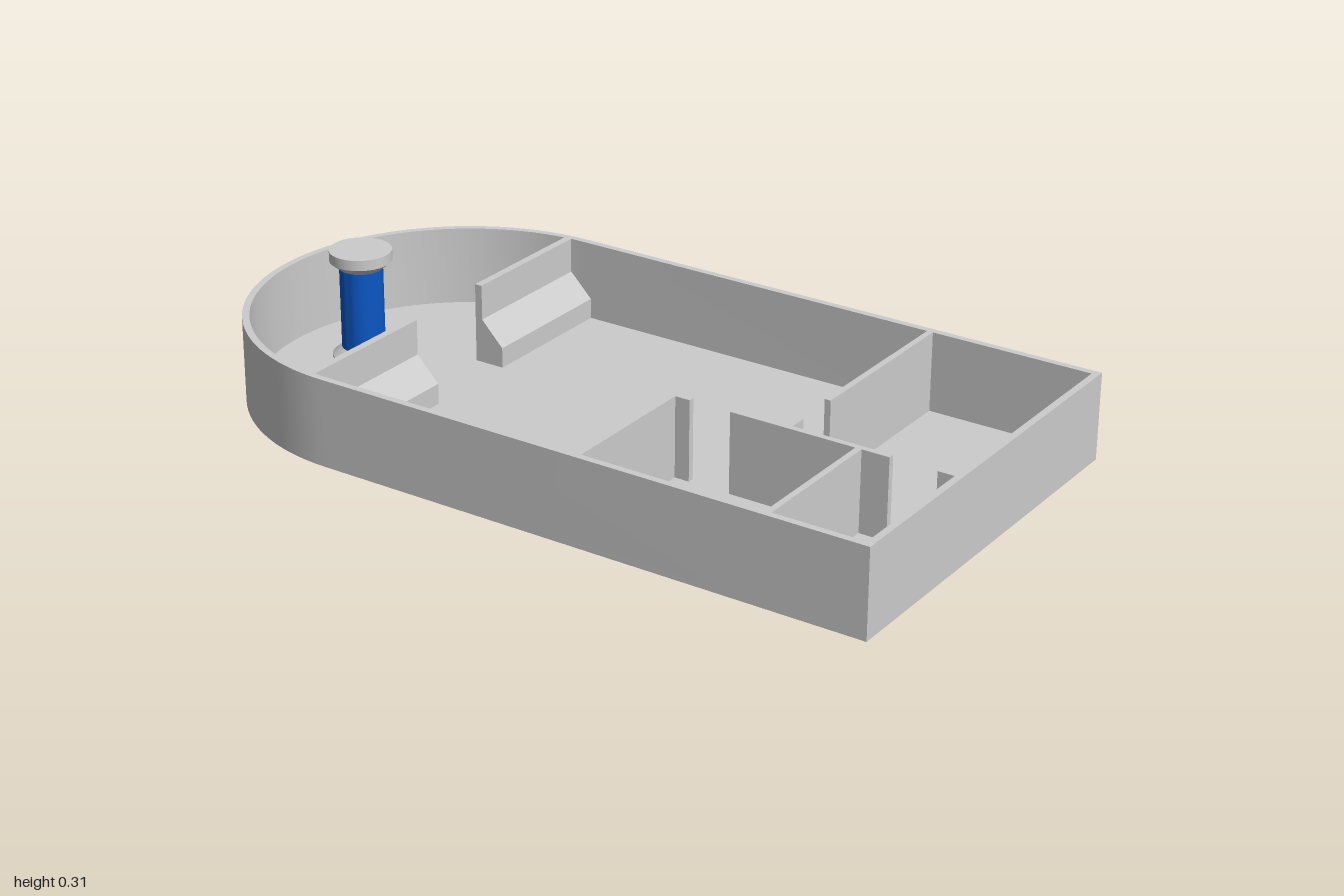
import * as THREE from 'three';
import { toCreasedNormals } from 'three/addons/utils/BufferGeometryUtils.js';

const BASE = 0.005, FLOOR = 0.022, TOP = 0.229, T = 0.016;

// Plan outline: square at +x, half round at -x, inset by d
function outline(d, Type = THREE.Shape) {
  const r = 0.532 - d, cx = -0.468, s = new Type();
  s.moveTo(1 - d, -r);
  s.lineTo(1 - d, r);
  s.lineTo(cx, r);
  s.absarc(cx, 0, r, Math.PI / 2, Math.PI * 1.5, false);
  s.closePath();
  return s;
}

export function createModel() {
  const model = new THREE.Group();
  const grey = new THREE.MeshStandardMaterial({ color: 0xcccccc });
  const blue = new THREE.MeshStandardMaterial({ color: 0x0b57c4 });

  function add(name, geometry, material = grey) {
    const mesh = new THREE.Mesh(geometry, material);
    mesh.name = name;
    model.add(mesh);
    return mesh;
  }

  // Extrude a plan shape upwards between two heights
  function slab(name, shape, y0, y1) {
    const g = new THREE.ExtrudeGeometry(shape, { depth: y1 - y0, bevelEnabled: false, curveSegments: 28 });
    g.rotateX(-Math.PI / 2);
    g.translate(0, y0, 0);
    return add(name, toCreasedNormals(g, 0.5));
  }

  // Full height partition given by its plan rectangle
  function partition(name, x0, x1, z0, z1) {
    const g = new THREE.BoxGeometry(x1 - x0, TOP - FLOOR, z1 - z0);
    g.translate((x0 + x1) / 2, (TOP + FLOOR) / 2, (z0 + z1) / 2);
    add(name, g);
  }

  // Tray: floor and outer wall
  slab('floor', outline(0), BASE, FLOOR);
  const rim = outline(0);
  rim.holes.push(outline(0.018, THREE.Path));
  slab('outerWall', rim, FLOOR, TOP);

  // Mirrored partitions, each with a sloping bench in front
  const bench = new THREE.Shape([[-0.505, FLOOR], [-0.442, FLOOR], [-0.442, 0.075], [-0.505, 0.14]]
    .map(([x, y]) => new THREE.Vector2(x, y)));
  for (const side of [-1, 1]) {
    const z0 = side < 0 ? -0.516 : 0.13;
    partition('roundRoomWall', -0.523, -0.503, z0, z0 + 0.386);
    const g = new THREE.ExtrudeGeometry(bench, { depth: 0.386, bevelEnabled: false });
    g.translate(0, 0, z0);
    add('bench', g);
  }

  // Small room walls and door jambs
  partition('backRoomWall', 0.545, 0.545 + T, -0.516, -0.04);
  partition('backRoomJamb', 0.545, 0.545 + T, 0.078, 0.13);
  partition('frontRoomSideWall', 0.24, 0.24 + T, 0.125, 0.516);
  partition('frontRoomDivider', 0.733, 0.733 + T, 0.13, 0.516);
  for (const [x0, x1] of [[0.25, 0.295], [0.405, 0.82], [0.94, 0.985]]) {
    partition('frontRoomWall', x0, x1, 0.125, 0.125 + T);
  }

  // Spool: two flanges with conical necks and a coloured shaft
  const spool = new THREE.Group();
  spool.name = 'spool';
  spool.position.x = -0.78;
  const lathe = (name, points, material) => {
    const g = new THREE.LatheGeometry(points.map(([r, y]) => new THREE.Vector2(r, y)), 40);
    spool.add(add(name, toCreasedNormals(g, 0.5), material));
  };
  lathe('bottomFlange', [[0, 0], [0.079, 0], [0.079, 0.028], [0.055, 0.048], [0, 0.048]], grey);
  lathe('shaft', [[0.055, 0.048], [0.055, 0.26]], blue);
  lathe('topFlange', [[0, 0.26], [0.055, 0.26], [0.079, 0.28], [0.079, 0.307], [0, 0.307]], grey);
  model.add(spool);

  return model;
}
